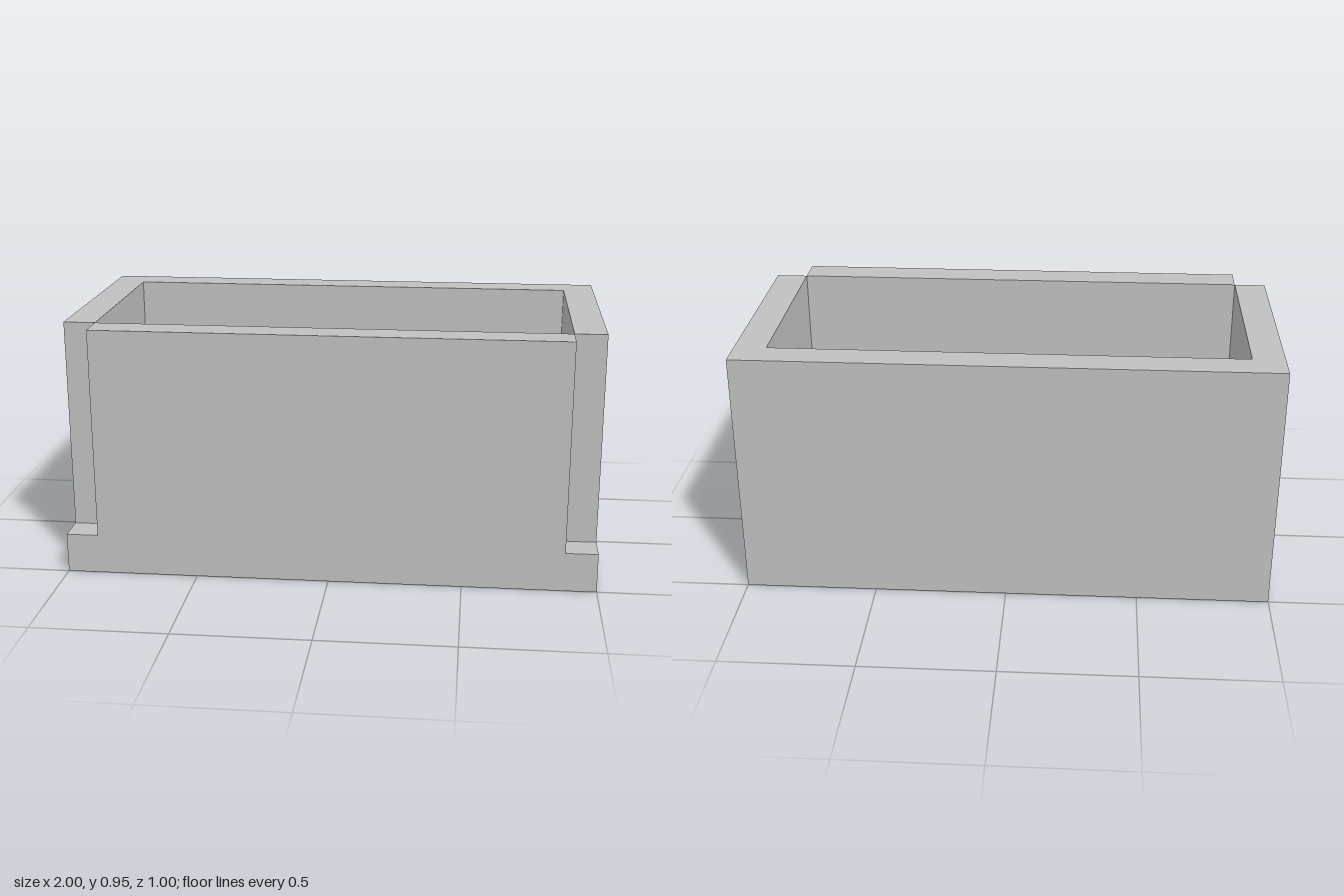
import * as THREE from 'three';

export function createModel() {
  const model = new THREE.Group();
  const grey = new THREE.MeshStandardMaterial({ color: 0xc0c0c0 });
  grey.name = 'light grey';

  const halfWidth = 1, halfDepth = 0.5, wall = 0.12;
  const baseHeight = 0.15, height = 0.95;
  const innerX = halfWidth - wall, innerZ = halfDepth - wall;

  const add = (name, geometry) => {
    const mesh = new THREE.Mesh(geometry, grey);
    mesh.name = name;
    model.add(mesh);
  };

  // Full-footprint slab, which also forms the steps in the front corners
  add('base', new THREE.BoxGeometry(2 * halfWidth, baseHeight, 2 * halfDepth)
    .translate(0, baseHeight / 2, 0));

  // U-shaped back and side walls, drawn in plan (shape y is -z) and extruded upwards
  const plan = new THREE.Shape([
    [-halfWidth, -innerZ], [-innerX, -innerZ], [-innerX, innerZ], [innerX, innerZ],
    [innerX, -innerZ], [halfWidth, -innerZ], [halfWidth, halfDepth], [-halfWidth, halfDepth],
  ].map(([x, y]) => new THREE.Vector2(x, y)));
  add('backAndSideWalls', new THREE.ExtrudeGeometry(plan, { depth: height - baseHeight, bevelEnabled: false })
    .rotateX(-Math.PI / 2)
    .translate(0, baseHeight, 0));

  // Front wall between the two corner notches
  add('frontWall', new THREE.BoxGeometry(2 * innerX, height - baseHeight, wall)
    .translate(0, (height + baseHeight) / 2, halfDepth - wall / 2));

  return model;
}
